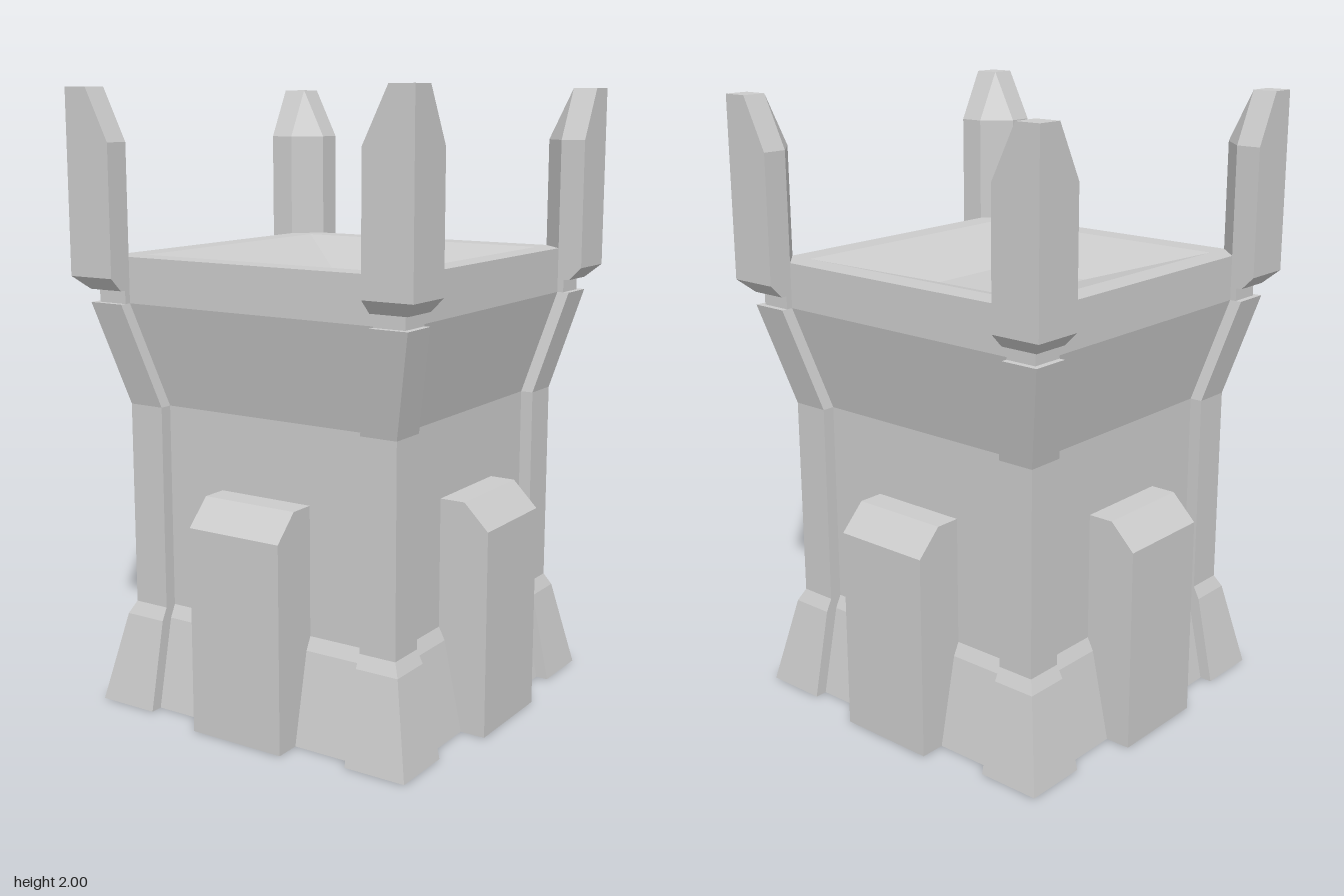
import * as THREE from 'three';

const material = new THREE.MeshStandardMaterial({
  color: 0xcccccc, flatShading: true, side: THREE.DoubleSide,
});

// Skins a stack of rings (each a list of [x, y, z]) into a faceted surface.
function loft(rings, { closed = false, capBottom = false, capTop = false } = {}) {
  const pos = [];
  const tri = (a, b, c) => pos.push(...a, ...b, ...c);
  for (let k = 0; k < rings.length - 1; k++) {
    const a = rings[k], b = rings[k + 1], n = a.length;
    for (let i = 0; i < (closed ? n : n - 1); i++) {
      const j = (i + 1) % n;
      tri(a[i], a[j], b[j]);
      tri(a[i], b[j], b[i]);
    }
  }
  const first = rings[0], last = rings[rings.length - 1];
  for (let i = 1; i < first.length - 1; i++) {
    if (capBottom) tri(first[0], first[i + 1], first[i]);
    if (capTop) tri(last[0], last[i], last[i + 1]);
  }
  const g = new THREE.BufferGeometry();
  g.setAttribute('position', new THREE.Float32BufferAttribute(pos, 3));
  g.computeVertexNormals();
  return g;
}

const SOLID = { closed: true, capBottom: true, capTop: true };
const HALF = 0.167; // half width of a buttress

// Wall profile: [distance from the axis, height]
const WALL = [[0.542, 0], [0.479, 0.292], [0.458, 0.333], [0.458, 1], [0.542, 1.333], [0.542, 1.479]];

// L-shaped section hugging a tower corner: o outer, e end of the arms, d wall
const cornerL = (y, o, e, d) =>
  [[o, o], [o, e], [d, e], [d, d], [e, d], [e, o]].map(([x, z]) => [x, y, z]);

// Square section with its inner corner cut off
const postSection = (y, o, e, m) =>
  [[e, m], [e, o], [o, o], [o, e], [m, e]].map(([x, z]) => [x, y, z]);

const square = (h, y) => [[-h, y, h], [h, y, h], [h, y, -h], [-h, y, -h]];

export function createModel() {
  const model = new THREE.Group();
  model.name = 'tower';
  const add = (parent, name, geometry) => {
    const mesh = new THREE.Mesh(geometry, material);
    mesh.name = name;
    parent.add(mesh);
    return mesh;
  };

  // Wall panels beside and above each buttress
  const wallRight = loft(WALL.map(([d, y]) => [[HALF, y, d], [d, y, d]]));
  const wallLeft = loft(WALL.map(([d, y]) => [[-d, y, d], [-HALF, y, d]]));
  const wallCentre = loft([[0.458, 0.75], ...WALL.slice(3)]
    .map(([d, y]) => [[-HALF, y, d], [HALF, y, d]]));

  // Buttress: chamfered front, open at the back and bottom
  const outline = [[0.625, 0], [0.625, 0.667], [0.542, 0.75], [0.458, 0.75]];
  const buttressFront = loft(outline.map(([z, y]) => [[-HALF, y, z], [HALF, y, z]]));
  const cheekShape = new THREE.Shape(
    [...outline, [0.458, 0.333], [0.479, 0.292], [0.542, 0]].map(([z, y]) => new THREE.Vector2(z, y)));
  const cheek = new THREE.ShapeGeometry(cheekShape).rotateY(-Math.PI / 2);

  // Corner rib, following the wall a little further out
  const rib = loft([
    cornerL(0, 0.583, 0.375, 0.537),
    cornerL(0.292, 0.521, 0.375, 0.474),
    cornerL(0.333, 0.5, 0.375, 0.453),
    cornerL(1, 0.5, 0.375, 0.453),
    cornerL(1.333, 0.583, 0.458, 0.537),
  ], SOLID);

  // Neck between rib and post
  const neck = loft([cornerL(1.333, 0.563, 0.458, 0.537), cornerL(1.375, 0.563, 0.458, 0.537)], SOLID);

  // Corner post with bevelled foot and sloped tip
  const post = loft([
    postSection(1.375, 0.583, 0.458, 0.542),
    postSection(1.417, 0.625, 0.458, 0.542),
    postSection(1.833, 0.625, 0.458, 0.542),
    postSection(2, 0.625, 0.542, 0.542),
  ], SOLID);

  // Four identical sides, each with one corner
  for (let i = 0; i < 4; i++) {
    const side = new THREE.Group();
    side.name = 'side' + (i + 1);
    side.rotation.y = i * Math.PI / 2;
    add(side, 'wallRight', wallRight);
    add(side, 'wallLeft', wallLeft);
    add(side, 'wallCentre', wallCentre);
    add(side, 'buttressFront', buttressFront);
    for (const s of [-1, 1]) add(side, 'buttressCheek', cheek).position.x = s * HALF;
    add(side, 'cornerRib', rib);
    add(side, 'postNeck', neck);
    add(side, 'cornerPost', post);
    model.add(side);
  }

  // Roof: flat rim around a shallow basin
  add(model, 'roof', loft([square(0.542, 1.479), square(0.458, 1.479), square(HALF, 1.396)],
    { closed: true, capTop: true }));

  return model;
}
